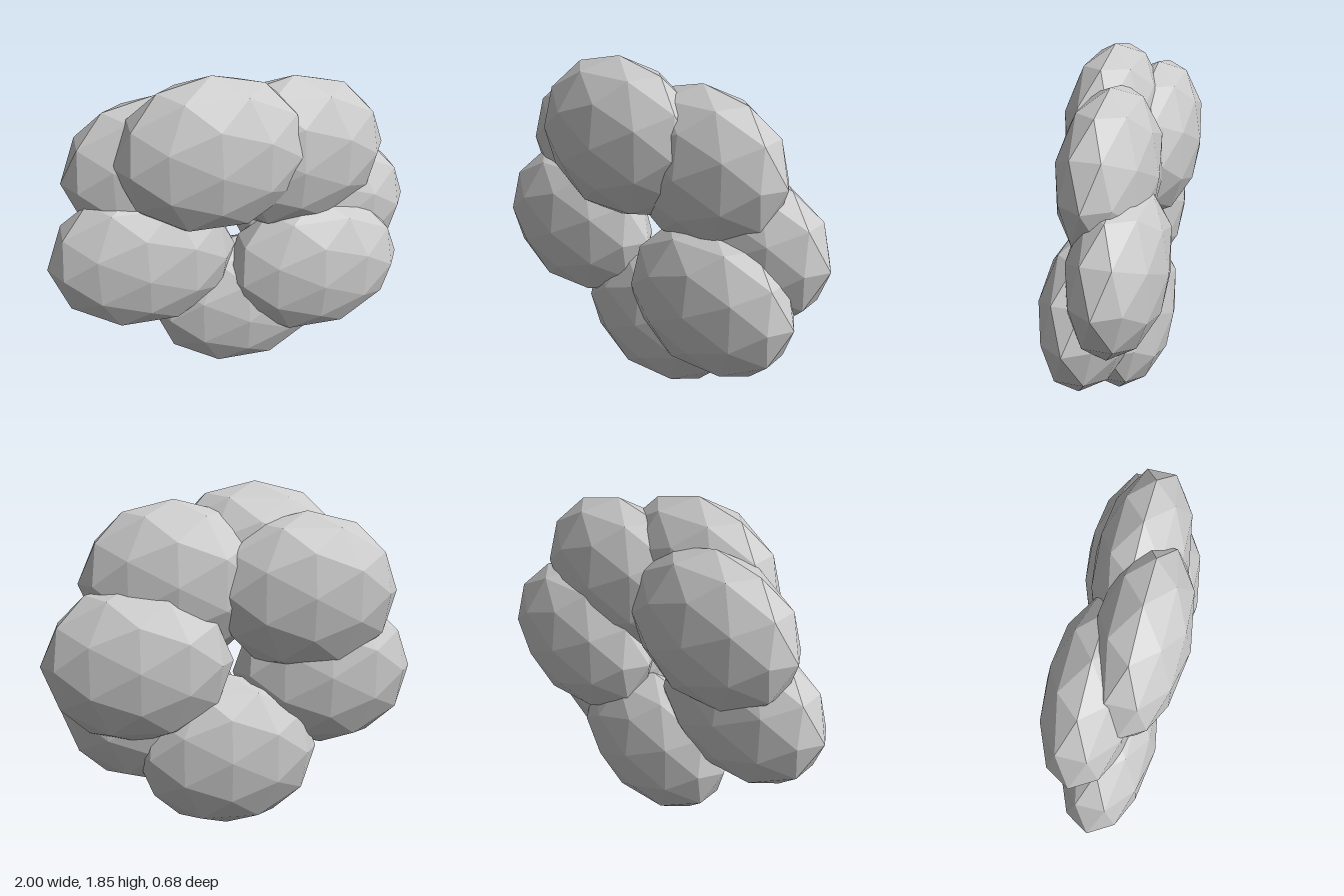
import * as THREE from 'three';

// Ring of seven overlapping, flattened low-poly lobes
export function createModel() {
  const group = new THREE.Group();
  group.name = 'lobeRing';
  const material = new THREE.MeshStandardMaterial({ color: 0xcccccc, flatShading: true });

  // One shared faceted ellipsoid
  const lobeGeometry = new THREE.IcosahedronGeometry(1, 1);
  lobeGeometry.scale(0.495, 0.423, 0.238);

  // Lobe centres, clockwise from the top
  const centres = [
    [-0.135, 1.427, 0.1],
    [0.302, 1.34, 0],
    [0.503, 0.937, -0.102],
    [0.423, 0.663, 0.068],
    [0.037, 0.425, -0.033],
    [-0.502, 0.843, 0.033],
    [-0.38, 1.28, -0.068],
  ];
  centres.forEach(([x, y, z], i) => {
    const lobe = new THREE.Mesh(lobeGeometry, material);
    lobe.name = `lobe${i + 1}`;
    lobe.position.set(x, y, z);
    group.add(lobe);
  });
  return group;
}
